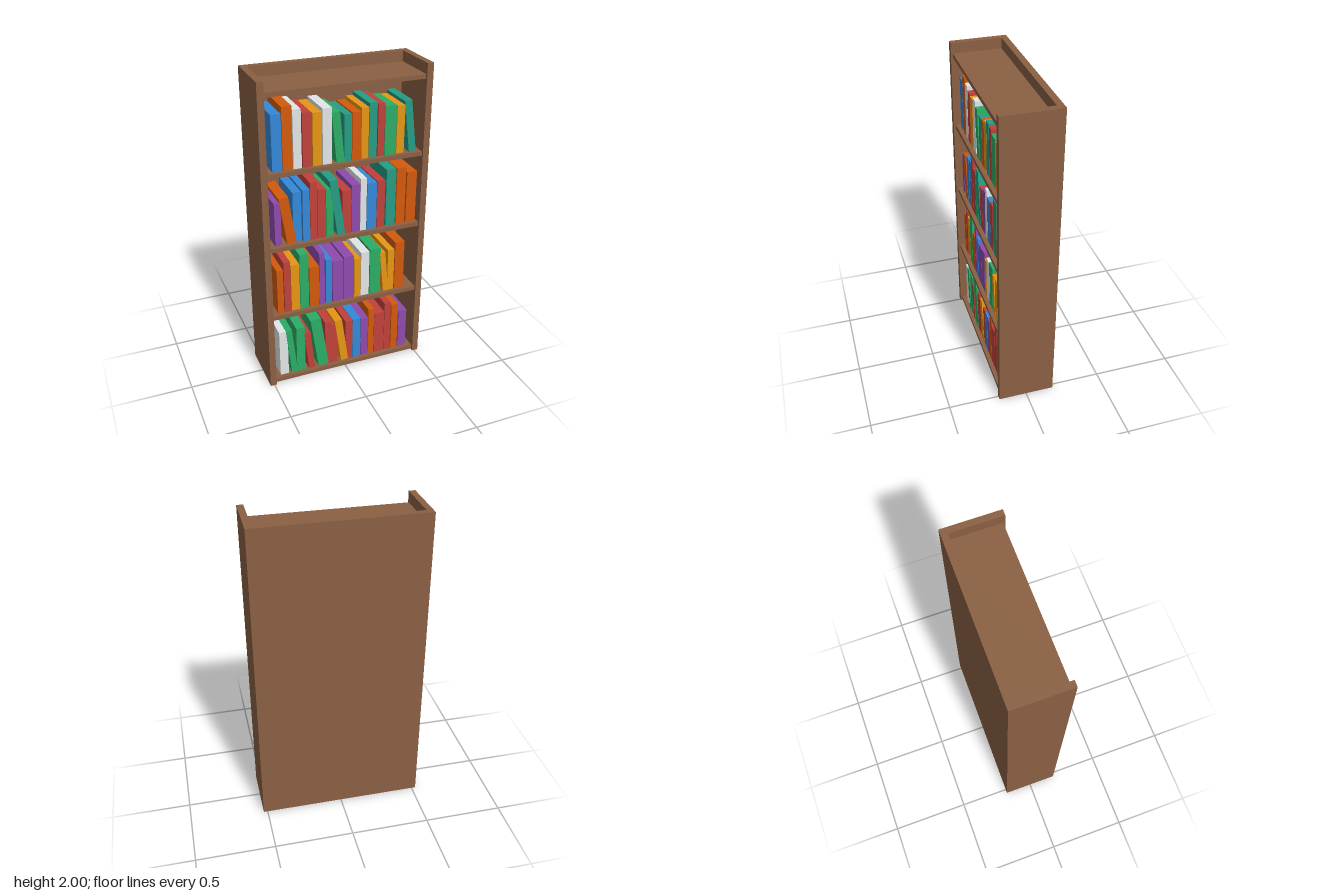
import * as THREE from 'three';

const material = (name, color) => {
  const m = new THREE.MeshStandardMaterial({ color });
  m.name = name;
  return m;
};
const wood = material('wood', 0x8a6043);
const blue = material('blue', 0x3488d8);
const orange = material('orange', 0xd35a0c);
const white = material('white', 0xecf0f1);
const red = material('red', 0xc0413a);
const yellow = material('yellow', 0xee9a14);
const green = material('green', 0x2cac66);
const teal = material('teal', 0x259c84);
const purple = material('purple', 0x8e4aad);

// Book rows from the bottom shelf up: colour, left edge, width, height, lean
const row1 = [
  [white, -0.445, 0.056, 0.326], [green, -0.368, 0.04, 0.33, 0.1], [green, -0.331, 0.058, 0.329],
  [red, -0.25, 0.042, 0.28, 0.1], [green, -0.183, 0.07, 0.37, 0.14], [red, -0.135, 0.042, 0.323],
  [red, -0.093, 0.045, 0.292], [yellow, -0.024, 0.05, 0.325, 0.14], [red, 0.008, 0.048, 0.297],
  [blue, 0.058, 0.056, 0.297], [purple, 0.117, 0.05, 0.292], [orange, 0.17, 0.04, 0.35],
  [red, 0.212, 0.072, 0.307], [red, 0.286, 0.045, 0.368], [orange, 0.337, 0.048, 0.347],
  [purple, 0.39, 0.058, 0.286],
];
const row2 = [
  [orange, -0.445, 0.04, 0.302], [red, -0.4, 0.042, 0.35], [yellow, -0.355, 0.055, 0.323],
  [green, -0.297, 0.056, 0.382], [orange, -0.236, 0.064, 0.281], [purple, -0.17, 0.035, 0.366],
  [blue, -0.127, 0.04, 0.313], [purple, -0.082, 0.074, 0.292], [purple, -0.005, 0.066, 0.305],
  [yellow, 0.066, 0.042, 0.276], [white, 0.111, 0.056, 0.313], [green, 0.172, 0.074, 0.323],
  [yellow, 0.268, 0.037, 0.287, 0.1], [yellow, 0.297, 0.045, 0.292], [orange, 0.347, 0.064, 0.339],
];
const row3 = [
  [purple, -0.445, 0.04, 0.275], [orange, -0.37, 0.058, 0.31, 0.15], [blue, -0.331, 0.053, 0.328],
  [blue, -0.27, 0.045, 0.333], [red, -0.223, 0.045, 0.374], [red, -0.175, 0.05, 0.323],
  [green, -0.122, 0.045, 0.313], [teal, -0.05, 0.05, 0.37, 0.138], [red, -0.019, 0.058, 0.286],
  [purple, 0.042, 0.056, 0.313], [white, 0.1, 0.04, 0.345], [blue, 0.143, 0.064, 0.307],
  [red, 0.209, 0.053, 0.313], [teal, 0.27, 0.064, 0.376], [orange, 0.339, 0.061, 0.376],
  [orange, 0.408, 0.066, 0.339],
];
const row4 = [
  [blue, -0.445, 0.06, 0.338], [orange, -0.382, 0.06, 0.378], [white, -0.318, 0.05, 0.353],
  [red, -0.262, 0.053, 0.328], [yellow, -0.201, 0.055, 0.32], [white, -0.14, 0.057, 0.338],
  [green, -0.056, 0.05, 0.31, 0.095], [teal, -0.008, 0.047, 0.286], [orange, 0.042, 0.055, 0.292],
  [yellow, 0.1, 0.045, 0.312], [teal, 0.148, 0.05, 0.334], [red, 0.204, 0.042, 0.324],
  [green, 0.249, 0.074, 0.302], [yellow, 0.326, 0.05, 0.297], [teal, 0.41, 0.046, 0.325, 0.12],
];

// Box whose origin is the middle of its underside
function box(name, mat, w, h, d, x, y, z) {
  const geometry = new THREE.BoxGeometry(w, h, d).translate(0, h / 2, 0);
  const mesh = new THREE.Mesh(geometry, mat);
  mesh.name = name;
  mesh.position.set(x, y, z);
  return mesh;
}

export function createModel() {
  const model = new THREE.Group();
  model.name = 'bookcase';

  // Carcass
  model.add(box('leftSide', wood, 0.04, 2, 0.357, 0.506, 0, 0));
  model.add(box('rightSide', wood, 0.04, 2, 0.357, -0.506, 0, 0));
  model.add(box('backPanel', wood, 0.972, 2, 0.04, 0, 0, -0.1585));

  // Five shelves, evenly spaced
  const thickness = 0.027;
  const shelfTop = (i) => 0.037 + 0.4742 * i;
  for (let i = 0; i < 5; i++) {
    model.add(box('shelf', wood, 0.972, thickness, 0.304, 0, shelfTop(i) - thickness, 0.0135));
  }

  // Books; leaning ones tip to the viewer's left and stand slightly forward
  [row1, row2, row3, row4].forEach((row, i) => {
    const books = new THREE.Group();
    books.name = 'bookRow';
    for (const [mat, left, w, h, lean = 0] of row) {
      const book = box('book', mat, w, h, 0.25, left + w / 2, shelfTop(i), lean ? 0.016 : 0.014);
      book.rotation.z = lean;
      books.add(book);
    }
    model.add(books);
  });

  return model;
}
